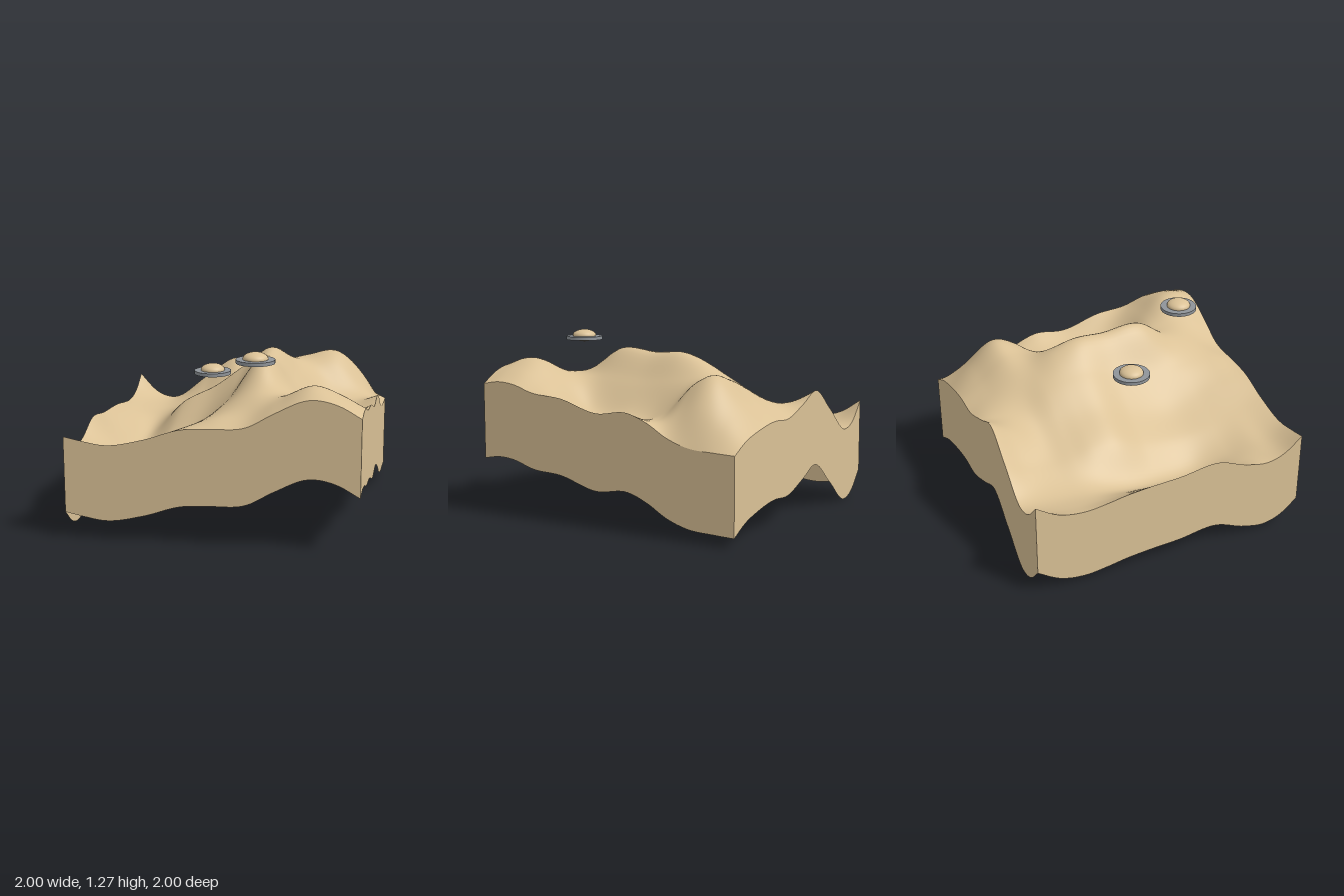
import * as THREE from 'three';

const sand = new THREE.MeshStandardMaterial({ color: 0xdac196, side: THREE.DoubleSide });
sand.name = 'sand';
const steel = new THREE.MeshStandardMaterial({ color: 0x8f9499 });
steel.name = 'steel';

// Ground heights: one row per Z knot (back to front), one column per X knot
const X_KNOTS = [-1, -0.87, -0.73, -0.45, -0.2, 0, 0.25, 0.43, 0.67, 0.85, 1];
const Z_KNOTS = [-1, -0.85, -0.65, -0.5, -0.35, -0.2, 0.05, 0.35, 0.58, 0.75, 0.87, 1];
const HEIGHTS = [
  [0.715, 0.58, 0.533, 0.715, 0.88, 0.81, 0.735, 0.745, 0.715, 0.67, 0.60],
  [0.62, 0.555, 0.53, 0.64, 0.79, 0.80, 0.82, 0.85, 0.86, 0.76, 0.605],
  [0.58, 0.54, 0.52, 0.61, 0.73, 0.83, 0.94, 1.00, 1.03, 0.86, 0.62],
  [0.595, 0.535, 0.51, 0.64, 0.77, 0.91, 1.00, 1.00, 0.97, 0.82, 0.67],
  [0.62, 0.535, 0.48, 0.68, 0.81, 0.96, 1.08, 0.985, 0.83, 0.76, 0.755],
  [0.635, 0.535, 0.45, 0.69, 0.83, 0.98, 1.135, 0.97, 0.75, 0.75, 0.81],
  [0.65, 0.53, 0.425, 0.60, 0.74, 0.91, 1.135, 0.95, 0.73, 0.735, 0.79],
  [0.68, 0.54, 0.43, 0.57, 0.69, 0.87, 1.145, 0.97, 0.76, 0.79, 0.87],
  [0.595, 0.54, 0.51, 0.61, 0.72, 0.86, 0.99, 0.97, 0.96, 0.93, 0.89],
  [0.57, 0.57, 0.58, 0.65, 0.76, 0.855, 0.94, 0.99, 1.08, 1.02, 0.94],
  [0.61, 0.605, 0.61, 0.68, 0.785, 0.85, 0.89, 0.98, 1.09, 1.03, 0.95],
  [0.715, 0.69, 0.67, 0.72, 0.80, 0.815, 0.84, 0.94, 1.04, 1.01, 0.93],
];
const SKIRT = 0.53;
const STEPS = 80;

// Smooth curve through values at uneven knots
function curve(knots, values, u) {
  const n = knots.length - 1;
  let i = 0;
  while (i < n - 1 && u > knots[i + 1]) i++;
  const slope = (k) => (values[k + 1] - values[k]) / (knots[k + 1] - knots[k]);
  const tangent = (k) => {
    if (k === 0) return slope(0);
    if (k === n) return slope(n - 1);
    const before = knots[k] - knots[k - 1], after = knots[k + 1] - knots[k];
    return (slope(k - 1) * after + slope(k) * before) / (before + after);
  };
  const w = knots[i + 1] - knots[i];
  const f = (u - knots[i]) / w;
  const s = f * f * (3 - 2 * f);
  return values[i] * (1 - s) + values[i + 1] * s
    + w * f * (1 - f) * ((1 - f) * tangent(i) - f * tangent(i + 1));
}

const heightAt = (x, z) => curve(Z_KNOTS, HEIGHTS.map((row) => curve(X_KNOTS, row, x)), z);

// Rolling top surface
function buildGround() {
  const geo = new THREE.PlaneGeometry(2, 2, STEPS, STEPS).rotateX(-Math.PI / 2);
  const p = geo.attributes.position;
  for (let i = 0; i < p.count; i++) p.setY(i, heightAt(p.getX(i), p.getZ(i)));
  geo.computeVertexNormals();
  const mesh = new THREE.Mesh(geo, sand);
  mesh.name = 'ground';
  return mesh;
}

// Vertical wall of constant depth hanging from one edge of the ground
function buildWall(name, angle) {
  const geo = new THREE.PlaneGeometry(2, 1, STEPS, 1).translate(0, 0, 1).rotateY(angle);
  const p = geo.attributes.position;
  for (let i = 0; i < p.count; i++) {
    const drop = p.getY(i) > 0 ? 0 : SKIRT;
    p.setY(i, heightAt(p.getX(i), p.getZ(i)) - drop);
  }
  const mesh = new THREE.Mesh(geo, sand);
  mesh.name = name;
  return mesh;
}

// Hovering saucer: flat rim with a squashed ball through it
function buildSaucer(name, x, y, z) {
  const saucer = new THREE.Group();
  saucer.name = name;
  const rim = new THREE.Mesh(new THREE.CylinderGeometry(0.132, 0.132, 0.025, 40), steel);
  rim.name = 'rim';
  const dome = new THREE.Mesh(new THREE.SphereGeometry(0.086, 32, 20).scale(1, 0.52, 1), sand);
  dome.name = 'dome';
  dome.position.y = 0.017;
  saucer.add(rim, dome);
  saucer.position.set(x, y, z);
  return saucer;
}

export function createModel() {
  const model = new THREE.Group();
  model.name = 'terrainWithSaucers';
  model.add(buildGround());
  ['frontWall', 'leftWall', 'backWall', 'rightWall'].forEach((name, i) => {
    model.add(buildWall(name, i * Math.PI / 2));
  });
  model.add(buildSaucer('lowSaucer', -0.168, 0.996, 0.08));
  model.add(buildSaucer('highSaucer', 0.248, 1.211, 0.665));
  return model;
}
